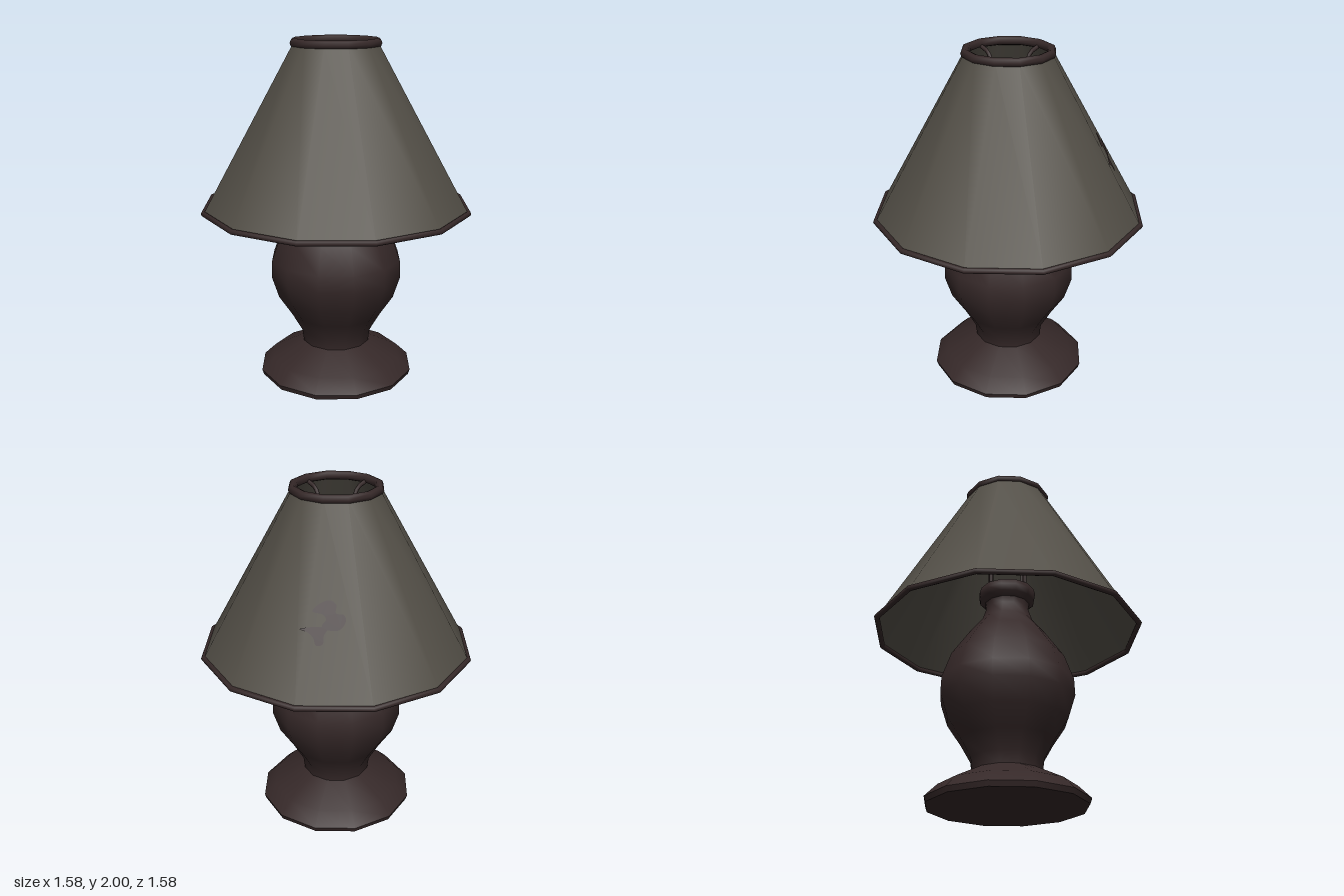
import * as THREE from 'three';

const SIDES = 12;

export function createModel() {
  const lamp = new THREE.Group();
  lamp.name = 'tableLamp';

  const wood = new THREE.MeshStandardMaterial({ color: 0x352828 });
  wood.name = 'darkBrown';
  const fabric = new THREE.MeshStandardMaterial({ color: 0x534f47, side: THREE.DoubleSide });
  fabric.name = 'greyFabric';

  const add = (name, geometry, material, parent = lamp) => {
    const mesh = new THREE.Mesh(geometry, material);
    mesh.name = name;
    parent.add(mesh);
    return mesh;
  };
  const lathe = (points) =>
    new THREE.LatheGeometry(points.map(([r, y]) => new THREE.Vector2(r, y)), SIDES);

  // Foot: thin vertical edge, sloping top and flat underside
  add('footEdge', lathe([[0.452, 0], [0.462, 0.03]]), wood);
  add('footTop', lathe([[0.462, 0.03], [0.39, 0.1], [0.2, 0.195]]), wood);
  const underside = add('footUnderside', new THREE.CircleGeometry(0.452, SIDES), wood);
  underside.rotation.x = Math.PI / 2;

  // Vase-shaped body with a narrow neck and flared lip
  add('body', lathe([
    [0.2, 0.19], [0.21, 0.265], [0.27, 0.37], [0.35, 0.49], [0.392, 0.62], [0.388, 0.72],
    [0.335, 0.87], [0.23, 1.02], [0.15, 1.12], [0.128, 1.19], [0.135, 1.23],
  ]), wood);
  add('lip', lathe([[0.132, 1.225], [0.165, 1.25], [0.172, 1.29], [0.16, 1.325], [0.14, 1.335]]), wood);
  add('lipTop', lathe([[0.14, 1.335], [0.04, 1.335]]), wood);
  const cap = add('centreCap', new THREE.CylinderGeometry(0.04, 0.04, 0.015, SIDES), wood);
  cap.position.y = 1.335;

  // Four rods holding the shade, bent outward at the top
  const rods = new THREE.Group();
  rods.name = 'shadeSupports';
  lamp.add(rods);
  const rodPath = new THREE.CurvePath();
  const bend = [[0.14, 1.32], [0.14, 1.89], [0.165, 1.94], [0.235, 1.965]]
    .map(([r, y]) => new THREE.Vector3(r, y, 0));
  for (let i = 0; i < 3; i++) rodPath.add(new THREE.LineCurve3(bend[i], bend[i + 1]));
  const rodGeometry = new THREE.TubeGeometry(rodPath, 24, 0.012, 6);
  for (let i = 0; i < 4; i++) {
    add('supportRod', rodGeometry, wood, rods).rotation.y = i * Math.PI / 2;
  }

  // Open conical shade
  const bottom = { r: 0.775, y: 1.035 }, top = { r: 0.245, y: 1.975 };
  add('shade', lathe([[bottom.r, bottom.y], [top.r, top.y]]), fabric);

  // Rims around both openings
  const rim = (name, radius, tube, y) => {
    const mesh = add(name, new THREE.TorusGeometry(radius, tube, 8, SIDES), wood);
    mesh.rotation.x = Math.PI / 2;
    mesh.position.y = y;
  };
  rim('bottomRim', 0.775, 0.016, 1.034);
  rim('topRim', 0.24, 0.025, 1.975);

  // Stain on the back left panel: outlines in (-z, y), laid onto the panel plane
  const slope = (bottom.r - top.r) / (top.y - bottom.y);
  const apothem = (y) => (bottom.r - (y - bottom.y) * slope) * Math.cos(Math.PI / SIDES);
  const stain = (outline) => {
    const curve = new THREE.CatmullRomCurve3(
      outline.map(([u, y]) => new THREE.Vector3(u, y, 0)), true);
    const shape = new THREE.Shape(curve.getPoints(48).slice(0, -1).map((p) => new THREE.Vector2(p.x, p.y)));
    const geometry = new THREE.ShapeGeometry(shape);
    const pos = geometry.attributes.position;
    for (let i = 0; i < pos.count; i++) {
      const u = pos.getX(i), y = pos.getY(i);
      const x = Math.SQRT2 * apothem(y) - u;
      pos.setXYZ(i, x + 0.004, y + 0.003, -u - 0.004);
    }
    geometry.computeVertexNormals();
    add('stain', geometry, wood);
  };
  stain([
    [0.29, 1.5], [0.28, 1.47], [0.325, 1.455], [0.345, 1.43], [0.34, 1.405], [0.37, 1.385],
    [0.41, 1.385], [0.42, 1.42], [0.4, 1.455], [0.37, 1.46], [0.355, 1.5], [0.32, 1.52],
  ]);
  stain([
    [0.265, 1.39], [0.3, 1.375], [0.33, 1.35], [0.355, 1.315], [0.375, 1.32],
    [0.365, 1.36], [0.365, 1.395], [0.32, 1.4],
  ]);

  return lamp;
}
